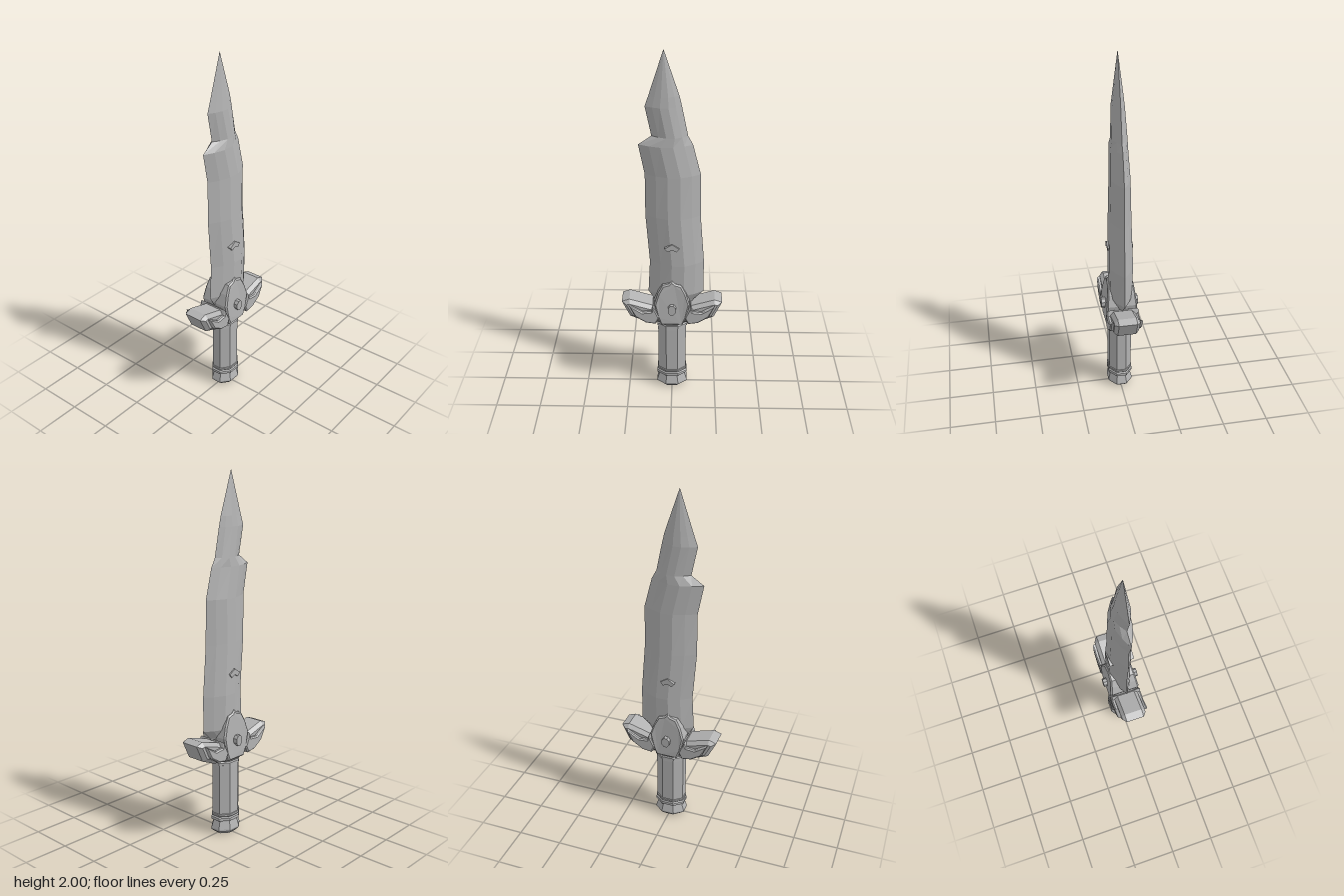
import * as THREE from 'three';

const steel = new THREE.MeshStandardMaterial({ color: 0xb2b2b2, flatShading: true });
steel.name = 'steel grey';

function part(name, geometry, parent) {
  const mesh = new THREE.Mesh(geometry, steel);
  mesh.name = name;
  parent.add(mesh);
  return mesh;
}

// Extrudes a [z, y] outline across x, centred, with an inset bevel
function slab(points, width, bevel) {
  const shape = new THREE.Shape(points.map(([z, y]) => new THREE.Vector2(z, y)));
  const geo = new THREE.ExtrudeGeometry(shape, {
    depth: width - 2 * bevel, bevelEnabled: bevel > 0, bevelThickness: bevel,
    bevelSize: bevel, bevelOffset: -bevel, bevelSegments: 1,
  });
  geo.translate(0, 0, bevel - width / 2);
  return geo.rotateY(-Math.PI / 2);
}

// Lens-shaped cross-sections stacked up the blade
function bladeGeometry() {
  // y, front edge z, back edge z, half thickness
  const rings = [
    [0.50, 0.08, -0.08, 0.04],
    [0.575, 0.10, -0.122, 0.046],
    [0.627, 0.132, -0.175, 0.06],
    [0.82, 0.122, -0.175, 0.065],
    [1.10, 0.143, -0.153, 0.058],
    [1.34, 0.143, -0.15, 0.052],
    [1.505, 0.175, -0.108, 0.045],
    [1.553, 0.106, -0.082, 0.041],
    [1.71, 0.138, -0.05, 0.033],
    [1.765, 0.119, -0.037, 0.027],
    [2.0, 0.042, 0.042, 0],
  ];
  const side = [[0, 0], [0.2, 0.6], [0.41, 1], [0.64, 1], [0.84, 0.55], [1, 0]];
  const section = [...side, ...side.slice(1, -1).reverse().map(([t, w]) => [t, -w])];
  const n = section.length;
  const pos = [], index = [];
  rings.forEach(([y, front, back, half], i) => {
    section.forEach(([t, w], j) => {
      pos.push(w * half, y, front + (back - front) * t);
      if (i === rings.length - 1) return;
      const a = i * n + j, b = i * n + (j + 1) % n;
      index.push(a, b, b + n);
      if (i < rings.length - 2) index.push(a, b + n, a + n);
    });
  });
  const geo = new THREE.BufferGeometry();
  geo.setAttribute('position', new THREE.Float32BufferAttribute(pos, 3));
  geo.setIndex(index);
  geo.computeVertexNormals();
  return geo;
}

// Eight-sided turned part, flatter across x than z; radii measured to the flats
function octagonal(profile) {
  const points = profile.map(([r, y]) => new THREE.Vector2(r / Math.cos(Math.PI / 8), y));
  return new THREE.LatheGeometry(points, 8, Math.PI / 8).scale(0.8, 1, 1);
}

export function createModel() {
  const model = new THREE.Group();
  model.name = 'dagger';

  part('blade', bladeGeometry(), model);

  // Small chevron standing out on both faces of the blade
  part('bladeChevron', slab([
    [-0.04, 0.932], [-0.024, 0.912], [0, 0.925], [0.024, 0.912], [0.04, 0.932], [0, 0.958],
  ], 0.14, 0), model);

  const guard = new THREE.Group();
  guard.name = 'guard';
  model.add(guard);

  // Pointed centre block, thinner towards its top
  const centre = slab([
    [-0.06, 0.45], [0.06, 0.45], [0.08, 0.5], [0.098, 0.585], [0.078, 0.65],
    [0.052, 0.7], [0.018, 0.71], [0, 0.728], [-0.018, 0.71], [-0.052, 0.7],
    [-0.078, 0.65], [-0.098, 0.585], [-0.08, 0.5],
  ], 0.172, 0.008);
  const p = centre.attributes.position;
  for (let i = 0; i < p.count; i++) {
    const t = Math.max(0, p.getY(i) - 0.59) / 0.14;
    p.setX(i, p.getX(i) * (1 - 0.2 * t));
  }
  part('guardCentre', centre, guard);

  // Upswept arms with raised cheeks, front and back
  for (const s of [1, -1]) {
    const flip = (pts) => pts.map(([z, y]) => [s * z, y]);
    const label = s > 0 ? 'front' : 'back';
    part(label + 'Arm', slab(flip([
      [0, 0.45], [0.14, 0.45], [0.235, 0.49], [0.28, 0.585], [0.238, 0.6],
      [0.11, 0.562], [0, 0.56],
    ]), 0.142, 0.02), guard);
    part(label + 'Cheeks', slab(flip([
      [0.07, 0.5], [0.09, 0.458], [0.145, 0.466], [0.205, 0.505],
      [0.238, 0.578], [0.165, 0.535], [0.115, 0.54], [0.105, 0.57],
    ]), 0.18, 0.007), guard);
  }

  // Oval rivet through the guard
  const rivet = new THREE.CylinderGeometry(0.024, 0.024, 0.208, 8);
  rivet.rotateY(Math.PI / 8).rotateZ(Math.PI / 2).scale(1, 1.3, 1);
  part('rivet', rivet, guard).position.y = 0.558;

  part('grip', octagonal([[0.076, 0.1], [0.079, 0.13], [0.079, 0.4], [0.076, 0.46]]), model);
  part('upperCollar', octagonal([
    [0.07, 0.408], [0.084, 0.414], [0.084, 0.428], [0.078, 0.434], [0.083, 0.44], [0.083, 0.452], [0, 0.452],
  ]), model);
  part('lowerCollar', octagonal([
    [0.07, 0.076], [0.085, 0.082], [0.085, 0.098], [0.078, 0.104],
    [0.083, 0.11], [0.083, 0.12], [0.07, 0.126],
  ]), model);
  part('pommel', octagonal([
    [0, 0], [0.064, 0], [0.086, 0.02], [0.086, 0.03], [0.073, 0.072], [0.073, 0.09],
  ]), model);

  return model;
}
